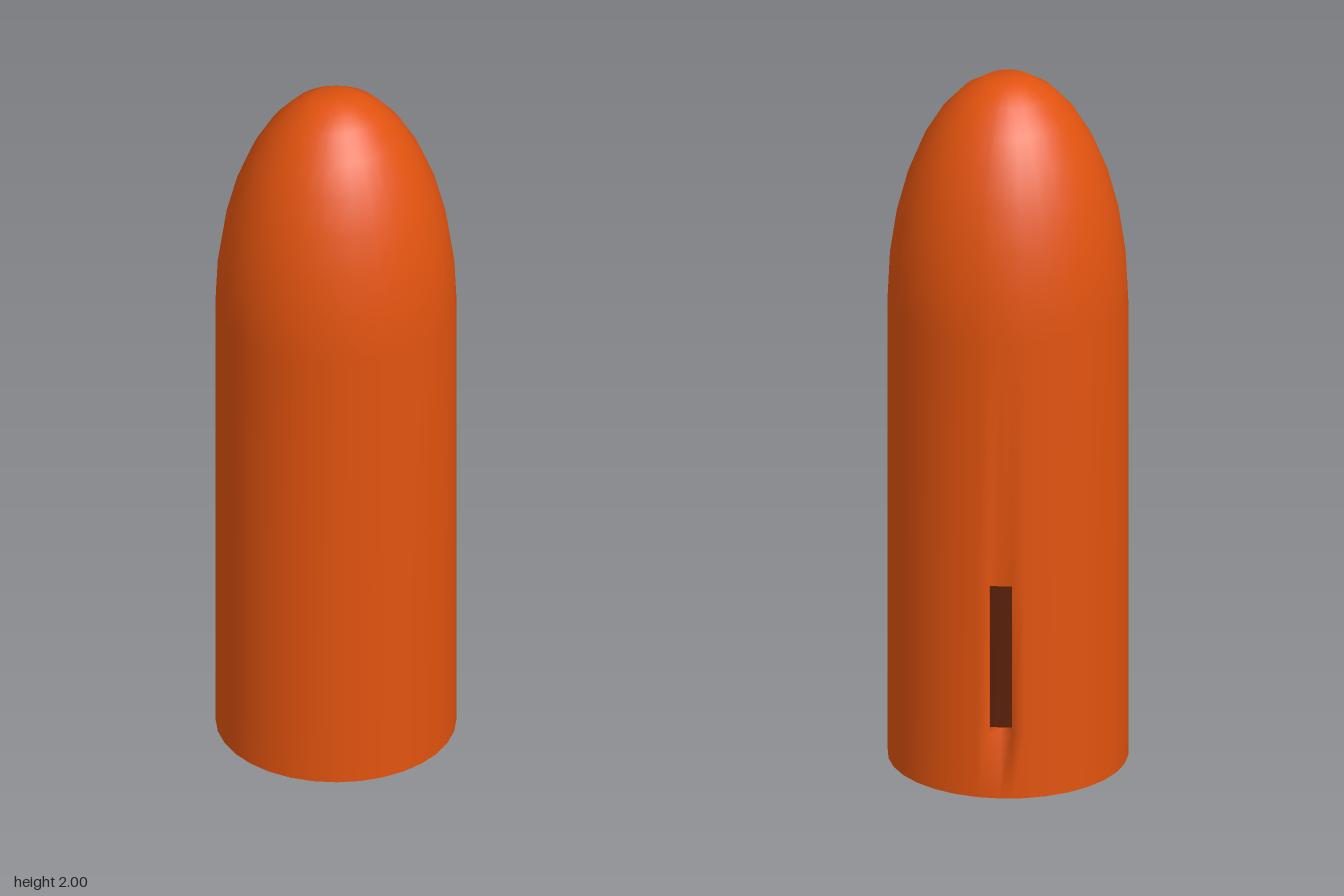
import * as THREE from 'three';
import { toCreasedNormals } from 'three/addons/utils/BufferGeometryUtils.js';

const R = 0.33, SIDES = 32, STEP = (2 * Math.PI) / SIDES;
const SLOT_BOTTOM = 0.19, SLOT_TOP = 0.63, SLOT_DEPTH = 0.05;

// Direction at angle a, measured from the back (-z) toward +x
const ray = (a) => new THREE.Vector3(Math.sin(a), 0, -Math.cos(a));

function buildGeometry(positions, index) {
  const g = new THREE.BufferGeometry();
  g.setAttribute('position', new THREE.Float32BufferAttribute(positions, 3));
  g.setIndex(index);
  g.computeVertexNormals();
  return g;
}

export function createModel() {
  const group = new THREE.Group();
  const orange = new THREE.MeshStandardMaterial({ color: 0xe2530f });
  const dark = new THREE.MeshStandardMaterial({ color: 0x5a2008 });
  const add = (name, geometry, material) => {
    const mesh = new THREE.Mesh(geometry, material);
    mesh.name = name;
    group.add(mesh);
  };

  // Columns of the body: regular sides, plus the two slot edges in mid-facet
  const columns = [];
  for (let i = 0; i < SIDES; i++) {
    columns.push(ray(i * STEP));
    if (i === 2 || i === 3) columns.push(ray(i * STEP).lerp(ray((i + 1) * STEP), 0.5));
  }
  const n = columns.length, slot = 3;

  // Rings: straight wall, then an elliptical nose
  const rings = [[R, 0], [R, SLOT_BOTTOM], [R, SLOT_TOP], [R, 1.35]];
  for (let i = 1; i <= 7; i++) {
    const t = i * STEP;
    rings.push([R * Math.cos(t), 1.35 + 0.6625 * Math.sin(t)]);
  }

  const positions = [], index = [];
  for (const [r, y] of rings) {
    for (const c of columns) positions.push(c.x * r, y, c.z * r);
  }
  const at = (k, j) => k * n + (j % n);
  const quad = (a, b, c, d) => index.push(a, b, c, a, c, d);
  for (let k = 0; k < rings.length - 1; k++) {
    for (let j = 0; j < n; j++) {
      if (k === 1 && (j === slot || j === slot + 1)) continue; // slot opening
      quad(at(k, j + 1), at(k, j), at(k + 1, j), at(k + 1, j + 1));
    }
  }

  // Flat tip
  const apex = positions.length / 3;
  positions.push(0, 2, 0);
  for (let j = 0; j < n; j++) index.push(at(rings.length - 1, j + 1), at(rings.length - 1, j), apex);

  // Slot walls, running inward from the opening
  const rim = [at(1, slot + 2), at(1, slot + 1), at(1, slot),
    at(2, slot), at(2, slot + 1), at(2, slot + 2)];
  const inward = ray(3 * STEP).multiplyScalar(-SLOT_DEPTH);
  const inner = positions.length / 3, floor = [];
  for (const v of rim) {
    floor.push(positions[3 * v] + inward.x, positions[3 * v + 1], positions[3 * v + 2] + inward.z);
  }
  positions.push(...floor);
  rim.forEach((v, i) => {
    const next = (i + 1) % rim.length;
    quad(v, rim[next], inner + next, inner + i);
  });
  add('body', buildGeometry(positions, index), orange);
  add('slotFloor', buildGeometry(floor, [0, 1, 4, 0, 4, 5, 1, 2, 3, 1, 3, 4]), dark);

  // Base with a centre dimple and a ring groove
  const profile = [[0, 0.045], [0.03, 0.04], [0.048, 0.02], [0.205, 0.02],
    [0.235, 0.06], [0.25, 0.06], [0.28, 0], [R, 0]];
  const base = new THREE.LatheGeometry(profile.map(([x, y]) => new THREE.Vector2(x, y)), SIDES);
  add('base', toCreasedNormals(base, 0.6), orange);

  return group;
}
